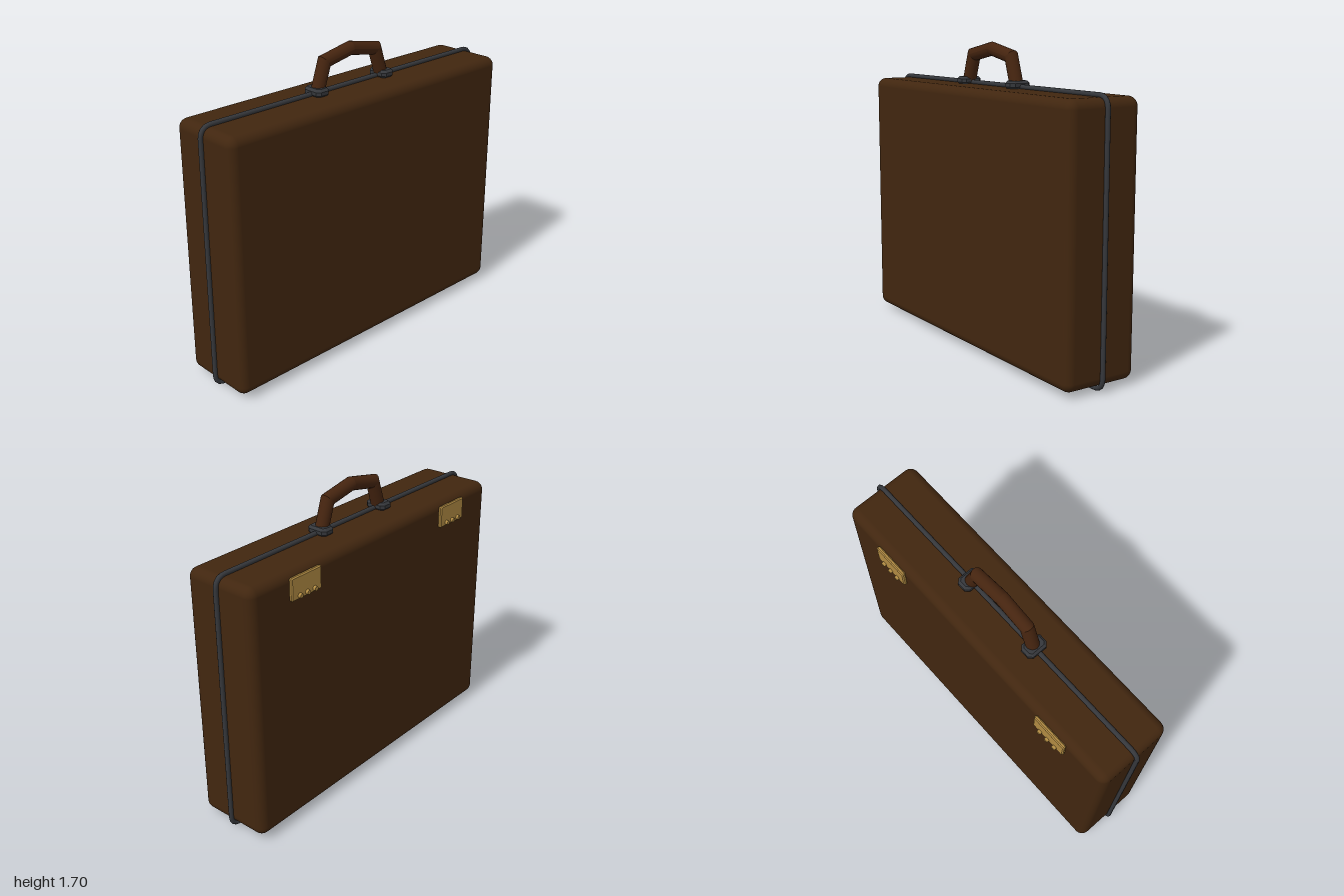
import * as THREE from 'three';
import { RoundedBoxGeometry } from 'three/addons/geometries/RoundedBoxGeometry.js';

const SEAM_Z = 0.017;

function material(name, color) {
  const m = new THREE.MeshStandardMaterial({ color });
  m.name = name;
  return m;
}

function addMesh(parent, name, geometry, mat, x = 0, y = 0, z = 0) {
  const mesh = new THREE.Mesh(geometry, mat);
  mesh.name = name;
  mesh.position.set(x, y, z);
  parent.add(mesh);
  return mesh;
}

// Closed rounded rectangle path in the xy plane
function roundedRectPath(x, y0, y1, r) {
  const v = (a, b) => new THREE.Vector3(a, b, 0);
  const path = new THREE.CurvePath();
  const corners = [[x, y0, -1, 0, 0, 1], [x, y1, 0, -1, -1, 0], [-x, y1, 1, 0, 0, -1], [-x, y0, 0, 1, 1, 0]];
  let last = v(-x + r, y0);
  for (const [cx, cy, ax, ay, bx, by] of corners) {
    const a = v(cx + ax * r, cy + ay * r);
    const b = v(cx + bx * r, cy + by * r);
    path.add(new THREE.LineCurve3(last, a));
    path.add(new THREE.QuadraticBezierCurve3(a, v(cx, cy), b));
    last = b;
  }
  return path;
}

// One straight handle section whose ends are cut along the given mitre vectors
function mitredSection(a, b, mitreA, mitreB, r) {
  const g = new THREE.CylinderGeometry(1, 1, 1, 20, 1, true);
  const pos = g.attributes.position;
  for (let i = 0; i < pos.count; i++) {
    const end = pos.getY(i) > 0;
    const p = end ? b : a;
    const m = end ? mitreB : mitreA;
    const s = pos.getX(i) * r;
    pos.setXYZ(i, p.x + m.x * s, p.y + m.y * s, pos.getZ(i) * r);
  }
  g.computeVertexNormals();
  return g;
}

function makeHandle(mat) {
  const group = new THREE.Group();
  group.name = 'handle';
  const pts = [[-0.238, 1.46], [-0.184, 1.622], [0, 1.658], [0.184, 1.622], [0.238, 1.46]]
    .map(([x, y]) => new THREE.Vector2(x, y));
  const side = [];
  for (let i = 0; i < pts.length - 1; i++) {
    const d = pts[i + 1].clone().sub(pts[i]).normalize();
    side.push(new THREE.Vector2(d.y, -d.x));
  }
  const mitres = pts.map((_, i) => {
    const n0 = side[Math.max(i - 1, 0)];
    const n1 = side[Math.min(i, side.length - 1)];
    const m = n0.clone().add(n1).normalize();
    return m.divideScalar(m.dot(n1));
  });
  for (let i = 0; i < side.length; i++) {
    addMesh(group, 'handleSection', mitredSection(pts[i], pts[i + 1], mitres[i], mitres[i + 1], 0.037), mat);
  }
  group.position.z = SEAM_Z;
  return group;
}

// Chamfered block, extruded along z with a small bevel; outer size is w x h x depth
function chamferedBlock(w, h, depth, cut, bevel) {
  const x = w / 2 - bevel, y = h / 2 - bevel;
  const shape = new THREE.Shape([
    [-x + cut, -y], [x - cut, -y], [x, -y + cut], [x, y - cut],
    [x - cut, y], [-x + cut, y], [-x, y - cut], [-x, -y + cut],
  ].map(([a, b]) => new THREE.Vector2(a, b)));
  const g = new THREE.ExtrudeGeometry(shape, {
    depth: depth - 2 * bevel, bevelEnabled: true, bevelSize: bevel, bevelThickness: bevel, bevelSegments: 1,
  });
  g.translate(0, 0, bevel);
  return g;
}

export function createModel() {
  const leather = material('brown leather', 0x41260f);
  const grip = material('handle leather', 0x45240f);
  const darkMetal = material('dark metal', 0x35373b);
  const brass = material('brass', 0xb08a42);

  const model = new THREE.Group();
  model.name = 'briefcase';

  // Case body
  addMesh(model, 'caseBody', new RoundedBoxGeometry(1.955, 1.43, 0.435, 5, 0.05), leather, 0, 0.742, SEAM_Z);

  // Metal rim around the opening seam
  const rim = new THREE.TubeGeometry(roundedRectPath(0.987, 0.013, 1.467, 0.065), 320, 0.013, 10, true);
  addMesh(model, 'seamRim', rim, darkMetal, 0, 0, SEAM_Z);

  // Handle and its two mounts
  model.add(makeHandle(grip));
  for (const s of [-1, 1]) {
    const mount = chamferedBlock(0.088, 0.125, 0.045, 0.012, 0.013);
    mount.rotateX(-Math.PI / 2);
    addMesh(model, 'handleMount', mount, darkMetal, s * 0.24, 1.453, SEAM_Z);
  }

  // Combination latches on the back
  for (const s of [-1, 1]) {
    const latch = new THREE.Group();
    latch.name = 'latch';
    latch.position.set(s * 0.61, 1.372, -0.198);
    const plate = chamferedBlock(0.215, 0.125, 0.022, 0.003, 0.006);
    plate.rotateY(Math.PI);
    addMesh(latch, 'latchPlate', plate, brass);
    for (const k of [-1, 0, 1]) {
      const dial = new THREE.CylinderGeometry(0.011, 0.015, 0.022, 16);
      dial.rotateX(-Math.PI / 2);
      addMesh(latch, 'dial', dial, brass, k * 0.053, -0.042, -0.0255);
    }
    model.add(latch);
  }
  return model;
}
